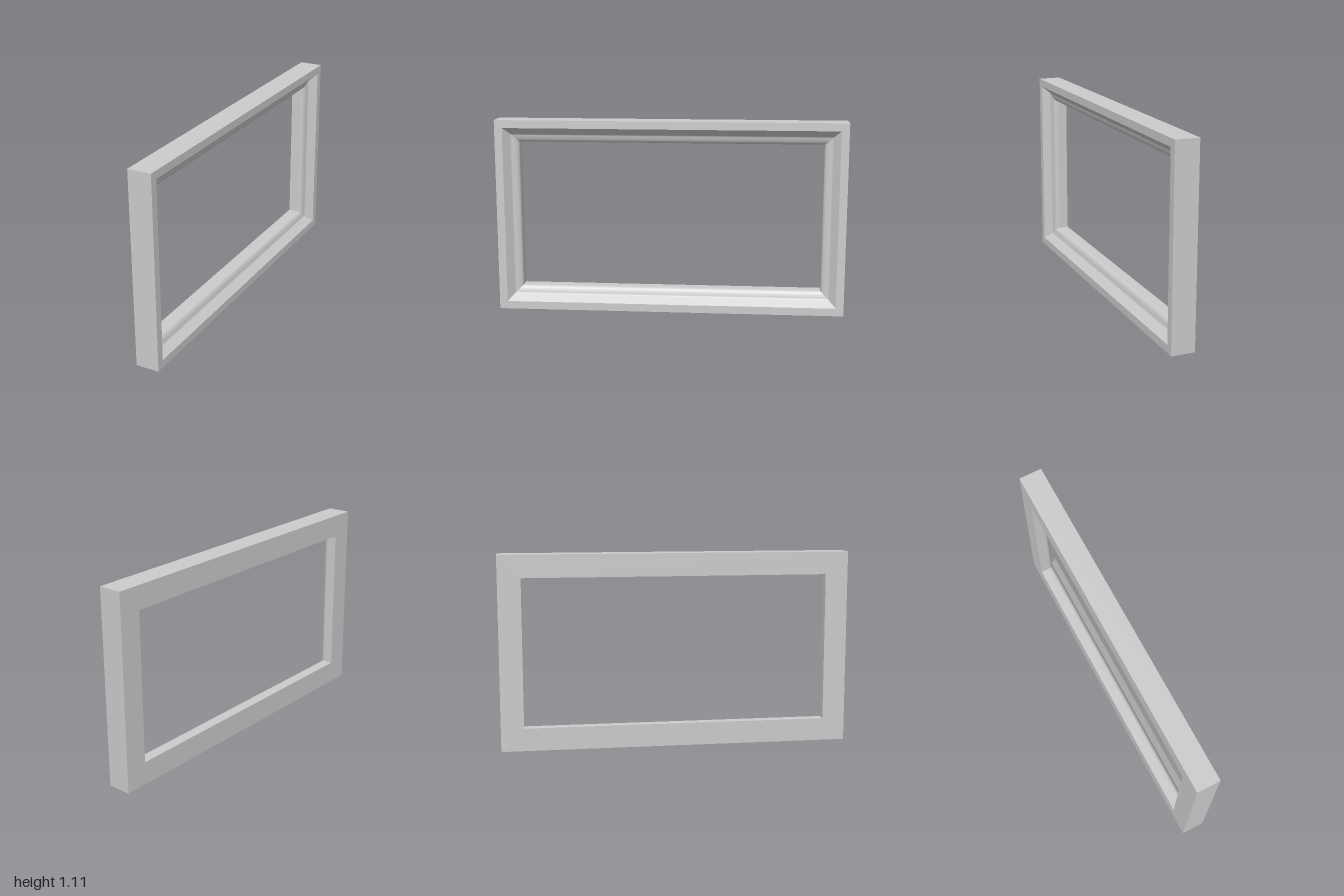
import * as THREE from 'three';
import { mergeGeometries } from 'three/addons/utils/BufferGeometryUtils.js';

const HALF_LENGTH = 1, HALF_HEIGHT = 0.555, DEPTH = 0.134;
const LIP = 0.045, INSET = 0.13;

// Moulding profile as (depth behind the face, inset from the outer edge):
// a straight slope, a rounded shoulder, then a flat reveal.
function mouldingProfile() {
  const shoulder = new THREE.CubicBezierCurve(
    new THREE.Vector2(0.045, 0.085), new THREE.Vector2(0.05, 0.107),
    new THREE.Vector2(0.056, INSET), new THREE.Vector2(0.078, INSET));
  return [[0, LIP], [0.04, 0.0805],
    ...shoulder.getPoints(12).map((p) => [p.x, p.y]),
    [0.09, INSET], [DEPTH, INSET]];
}

// Corners run counterclockwise around the +x face: [z sign, y sign]
const CORNERS = [[1, -1], [-1, -1], [-1, 1], [1, 1]];

function cornerPoint(k, [depth, inset]) {
  const [sz, sy] = CORNERS[k % 4];
  return [DEPTH / 2 - depth,
    HALF_HEIGHT + sy * (HALF_HEIGHT - inset),
    sz * (HALF_LENGTH - inset)];
}

// One smooth strip of a profile, stretched between two mitred corners
function strip(profile, k) {
  const positions = [], index = [];
  profile.forEach((p, i) => {
    positions.push(...cornerPoint(k, p), ...cornerPoint(k + 1, p));
    if (i === 0) return;
    const a = 2 * i - 2;
    index.push(a, a + 1, a + 3, a, a + 3, a + 2);
  });
  const g = new THREE.BufferGeometry();
  g.setAttribute('position', new THREE.Float32BufferAttribute(positions, 3));
  g.setIndex(index);
  g.computeVertexNormals();
  return g;
}

export function createModel() {
  const group = new THREE.Group();
  group.name = 'frame';
  const material = new THREE.MeshStandardMaterial({ color: 0xcccccc });

  // Separate strips keep the edges between them sharp
  const section = [
    [[DEPTH, 0], [0, 0]],          // outer edge
    [[0, 0], [0, LIP]],            // front lip
    mouldingProfile(),             // inner moulding
    [[DEPTH, INSET], [DEPTH, 0]],  // flat back
  ];

  // Four mitred rails
  ['bottomRail', 'backRail', 'topRail', 'frontRail'].forEach((name, k) => {
    const rail = new THREE.Mesh(mergeGeometries(section.map((p) => strip(p, k))), material);
    rail.name = name;
    group.add(rail);
  });
  return group;
}
